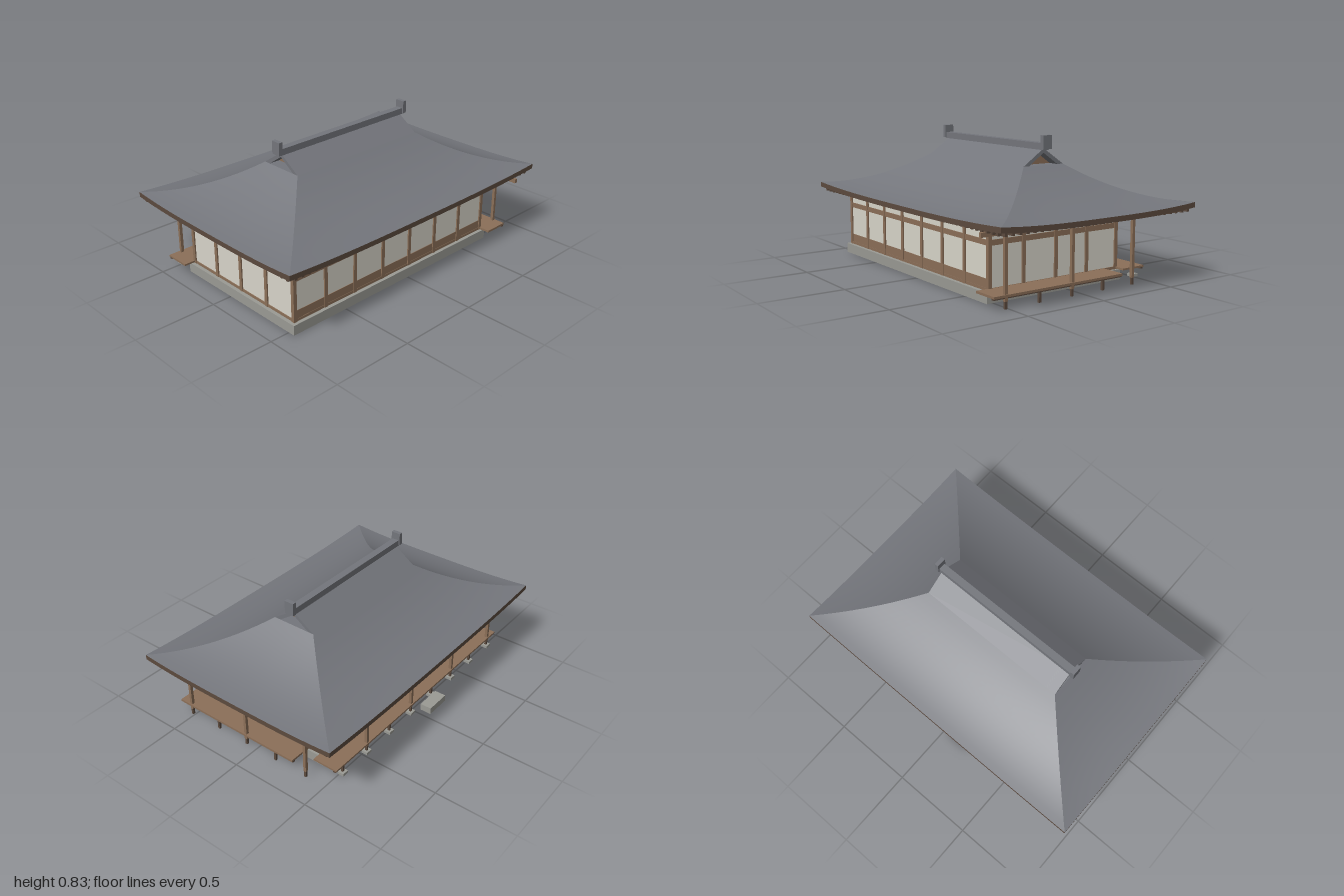
import * as THREE from 'three';

const mat = (color, side = THREE.FrontSide) => new THREE.MeshStandardMaterial({ color, side });
const M = {
  roof: mat(0x74767c, THREE.DoubleSide), ridge: mat(0x74767c),
  wood: mat(0x8b6f58), dark: mat(0x5c4a3e), eave: mat(0x5c4a3e, THREE.DoubleSide),
  stone: mat(0x9a9a94), paper: mat(0xd8d5ca), lit: mat(0xd9d6a4),
};

// Box given by its minimum and maximum corners
function box(parent, name, m, x0, x1, y0, y1, z0, z1) {
  const mesh = new THREE.Mesh(new THREE.BoxGeometry(x1 - x0, y1 - y0, z1 - z0), m);
  mesh.position.set((x0 + x1) / 2, (y0 + y1) / 2, (z0 + z1) / 2);
  mesh.name = name;
  parent.add(mesh);
  return mesh;
}

// Vertical square post centred on x, z
const post = (parent, name, m, x, z, y0, y1, w = 0.02) =>
  box(parent, name, m, x - w / 2, x + w / 2, y0, y1, z - w / 2, z + w / 2);

// Curved sheet: fn(u, v) -> [x, y, z], u and v in 0..1
function sheet(parent, name, m, nu, nv, fn) {
  const g = new THREE.PlaneGeometry(1, 1, nu, nv);
  const p = g.attributes.position;
  for (let i = 0; i < p.count; i++) p.setXYZ(i, ...fn(p.getX(i) + 0.5, 0.5 - p.getY(i)));
  g.computeVertexNormals();
  const mesh = new THREE.Mesh(g, m);
  mesh.name = name;
  parent.add(mesh);
}

function group(parent, name) {
  const g = new THREE.Group();
  g.name = name;
  parent.add(g);
  return g;
}

// Post rows
const XS = Array.from({ length: 8 }, (_, i) => -0.85 + i * 0.2195);
const ZS = Array.from({ length: 5 }, (_, i) => -0.365 + i * 0.22);
const [X0, X1, Z0, Z1] = [XS[0], XS[7], ZS[0], ZS[4]];

// Roof dimensions: eave half sizes, gable plane and foot of the gable
const EX = 1, EZ = 0.67, GX = 0.48, GZ = 0.14, GY = 0.665, RY = 0.76;
const slopeY = (t, u) => GY - 0.39 * t + 0.165 * t * t + 0.022 * t * t * Math.abs(u) ** 3;

function buildRoof(root) {
  const roof = group(root, 'roof');
  roof.position.z = -0.005;
  for (const s of [1, -1]) {
    // Long slopes: straight below the ridge, then curving out to the eave
    sheet(roof, 'upperSlope', M.roof, 1, 1, (u, v) =>
      [s * (2 * u - 1) * GX, RY + (GY - RY) * v, s * GZ * v]);
    sheet(roof, 'longSlope', M.roof, 32, 14, (u, v) => {
      const a = 2 * u - 1;
      return [s * a * (GX + (EX - GX) * v), slopeY(v, a), s * (GZ + (EZ - GZ) * v)];
    });
    // Hipped ends
    sheet(roof, 'endSlope', M.roof, 32, 14, (u, v) => {
      const a = 2 * u - 1;
      return [s * (GX + (EX - GX) * v), slopeY(v, a), -s * a * (GZ + (EZ - GZ) * v)];
    });
    // Upturned eave fascia and the soffit behind it
    const drop = (a, v) => slopeY(1, a) - 0.03 * v;
    sheet(roof, 'longFascia', M.eave, 32, 1, (u, v) =>
      [s * (2 * u - 1) * EX, drop(2 * u - 1, v), s * EZ]);
    sheet(roof, 'endFascia', M.eave, 32, 1, (u, v) =>
      [s * EX, drop(2 * u - 1, v), -s * (2 * u - 1) * EZ]);
    const inX = 0.66, inZ = 0.33, mix = THREE.MathUtils.lerp;
    sheet(roof, 'longSoffit', M.eave, 32, 1, (u, v) => {
      const a = 2 * u - 1;
      return [s * a * mix(EX, inX, v), mix(drop(a, 1), 0.43, v), s * mix(EZ, inZ, v)];
    });
    sheet(roof, 'endSoffit', M.eave, 32, 1, (u, v) => {
      const a = 2 * u - 1;
      return [s * mix(EX, inX, v), mix(drop(a, 1), 0.43, v), -s * a * mix(EZ, inZ, v)];
    });
    // Recessed gable: wooden triangle, ledge and thick roof edge around it
    const tri = new THREE.Shape([[-GZ, GY], [GZ, GY], [0, RY]].map(p => new THREE.Vector2(...p)));
    const wall = new THREE.Mesh(new THREE.ShapeGeometry(tri), mat(0x8b6f58, THREE.DoubleSide));
    wall.name = 'gableWall';
    wall.rotation.y = s * Math.PI / 2;
    wall.position.x = s * 0.41;
    roof.add(wall);
    sheet(roof, 'gableLedge', M.roof, 1, 1, (u, v) => [s * (0.4 + 0.08 * v), GY, (2 * u - 1) * GZ]);
    const edge = new THREE.Shape([[-GZ, GY], [-0.1, GY], [0, 0.735], [0.1, GY], [GZ, GY], [0, RY]]
      .map(p => new THREE.Vector2(...p)));
    const verge = new THREE.Mesh(
      new THREE.ExtrudeGeometry(edge, { depth: 0.07, bevelEnabled: false }), M.ridge);
    verge.name = 'gableEdge';
    verge.rotation.y = s * Math.PI / 2;
    verge.position.x = s * 0.409;
    roof.add(verge);
    box(roof, 'ridgeEnd', M.ridge, s * 0.5025 - 0.0125, s * 0.5025 + 0.0125, 0.757, 0.835, -0.03, 0.03);
  }
  box(roof, 'ridgeCap', M.ridge, -0.5, 0.5, 0.752, 0.79, -0.022, 0.022);

  // Rafters under all four eaves, shortened along the hip lines
  const rafters = group(roof, 'rafters');
  const hw = 0.008, y0 = 0.409, y1 = 0.427;
  for (let i = -21; i <= 21; i++) {
    const x = i * 0.045, hip = Math.max(0, EZ - (EX - Math.abs(x)));
    box(rafters, 'frontRafter', M.dark, x - hw, x + hw, y0, y1, Math.max(0.5, hip), 0.655);
    box(rafters, 'backRafter', M.dark, x - hw, x + hw, y0, y1, -0.655, -Math.max(0.35, hip));
  }
  for (let i = -14; i <= 14; i++) {
    const z = i * 0.045, hip = EX - (EZ - Math.abs(z));
    box(rafters, 'leftRafter', M.dark, Math.max(0.67, hip), 0.985, y0, y1, z - hw, z + hw);
    box(rafters, 'rightRafter', M.dark, -0.985, -Math.max(0.83, hip), y0, y1, z - hw, z + hw);
  }
}

function buildWalls(root) {
  const walls = group(root, 'walls');
  // Timber posts around the room
  for (const x of XS) for (const z of [Z0, Z1]) post(walls, 'wallPost', M.wood, x, z, 0.06, 0.425, 0.022);
  for (const z of ZS.slice(1, 4)) for (const x of [X0, X1]) post(walls, 'wallPost', M.wood, x, z, 0.06, 0.425, 0.022);
  // Horizontal rails: sill, lintel and wall plate
  for (const [a, b] of [[0.06, 0.078], [0.303, 0.333], [0.387, 0.412]]) {
    for (const z of [Z0, Z1]) box(walls, 'longRail', M.wood, X0, X1, a, b, z - 0.008, z + 0.008);
    for (const x of [X0, X1]) box(walls, 'endRail', M.wood, x - 0.008, x + 0.008, a, b, Z0, Z1);
  }
  // Paper and plaster infill
  box(walls, 'frontInfill', M.paper, X0, X1, 0.06, 0.43, Z1 - 0.004, Z1 + 0.003);
  for (const x of [X0, X1]) box(walls, 'endInfill', M.paper, x - 0.003, x + 0.003, 0.06, 0.43, Z0, Z1);
  box(walls, 'frontDado', M.wood, X0, X1, 0.07, 0.127, Z1 - 0.006, Z1 + 0.006);
  // Back bays with sliding screens, the middle three tinted
  for (let i = 0; i < 7; i++) {
    const lit = i >= 2 && i <= 4, mid = (XS[i] + XS[i + 1]) / 2;
    box(walls, 'backScreen', lit ? M.lit : M.paper, XS[i], XS[i + 1], 0.06, 0.305, Z0 - 0.003, Z0 + 0.003);
    box(walls, 'upperPanel', M.paper, XS[i], XS[i + 1], 0.305, 0.43, Z0 - 0.003, Z0 + 0.003);
    box(walls, 'screenStile', M.wood, mid - 0.005, mid + 0.005, 0.075, 0.305, Z0 - 0.006, Z0 + 0.006);
  }
}

function buildVeranda(root) {
  const ver = group(root, 'veranda');
  const px = 0.83, pz = -0.51;
  box(ver, 'sideDeck', M.wood, X1, 0.845, 0.064, 0.077, -0.28, 0.595);
  box(ver, 'sideDeckBeam', M.dark, 0.822, 0.838, 0.056, 0.066, -0.28, 0.595);
  box(ver, 'backDeck', M.wood, -0.93, 0.76, 0.066, 0.077, -0.525, Z0);
  box(ver, 'backDeckBeam', M.dark, -0.93, 0.76, 0.058, 0.067, -0.518, -0.502);
  // Every second support rises to the eave beam
  ZS.forEach((z, i) => {
    post(ver, 'sideSupport', M.dark, px, z, 0, 0.064, 0.014);
    if (i % 2 === 0) post(ver, 'sidePost', M.wood, px, z, 0.04, 0.4, 0.018);
  });
  XS.forEach((x, i) => {
    post(ver, 'backSupport', M.dark, x, pz, 0.015, 0.066, 0.014);
    post(ver, 'padStone', M.stone, x, pz, 0, 0.017, 0.042);
    if (i % 2 === 0) post(ver, 'backPost', M.wood, x, pz, 0.05, 0.4, 0.018);
  });
  box(ver, 'sideEaveBeam', M.wood, px - 0.01, px + 0.01, 0.386, 0.411, -0.52, 0.67);
  box(ver, 'backEaveBeam', M.wood, -0.93, 0.76, 0.386, 0.411, pz - 0.01, pz + 0.01);
  box(ver, 'stepStone', M.stone, -0.19, -0.03, 0.006, 0.048, -0.615, -0.543);
}

export function createModel() {
  const root = new THREE.Group();
  root.name = 'hall';
  box(root, 'stoneBase', M.stone, -0.88, 0.71, 0.003, 0.062, -0.39, 0.545);
  buildWalls(root);
  buildVeranda(root);
  buildRoof(root);
  return root;
}
